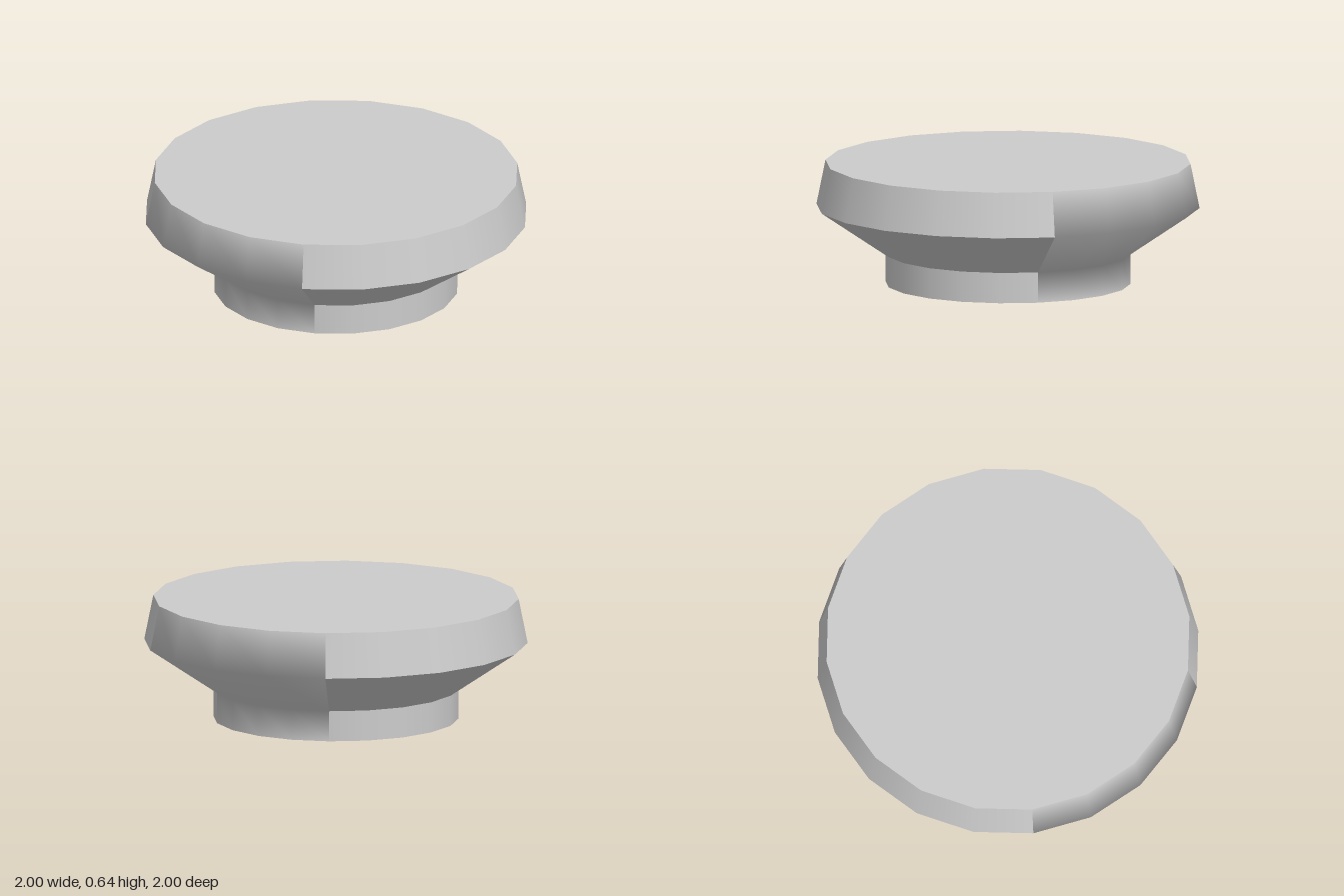
import * as THREE from 'three';

const SIDES = 20;
const STEP = (Math.PI * 2) / SIDES;
const HEIGHT = 0.638;

// Profile from the open foot up to the rim of the top
const PROFILE = [[0.64, 0], [0.64, 0.16], [1, 0.405], [0.953, HEIGHT]]
  .map(([r, y]) => new THREE.Vector2(r, y));

export function createModel() {
  const model = new THREE.Group();
  model.name = 'flaredCap';

  const grey = new THREE.MeshStandardMaterial({ color: 0xcccccc, side: THREE.DoubleSide });
  grey.name = 'light grey';

  // Turned shell covering a number of the twenty sides, starting at side `first`
  const addShell = (name, points, first, count) => {
    const mesh = new THREE.Mesh(
      new THREE.LatheGeometry(points, count, first * STEP, count * STEP), grey);
    mesh.name = name;
    model.add(mesh);
  };

  // Front and back: foot, flare and rim meet in sharp edges
  for (const [place, first] of [['front', -3], ['back', 7]]) {
    ['Foot', 'Flare', 'Rim'].forEach((part, i) =>
      addShell(place + part, PROFILE.slice(i, i + 2), first, 6));
  }

  // Left and right: the whole profile is shaded smoothly
  addShell('leftSide', PROFILE, 3, 4);
  addShell('rightSide', PROFILE, 13, 4);

  // Flat closed top
  const top = new THREE.Mesh(
    new THREE.CircleGeometry(PROFILE[3].x, SIDES).rotateX(-Math.PI / 2), grey);
  top.position.y = HEIGHT;
  top.name = 'top';
  model.add(top);

  return model;
}
